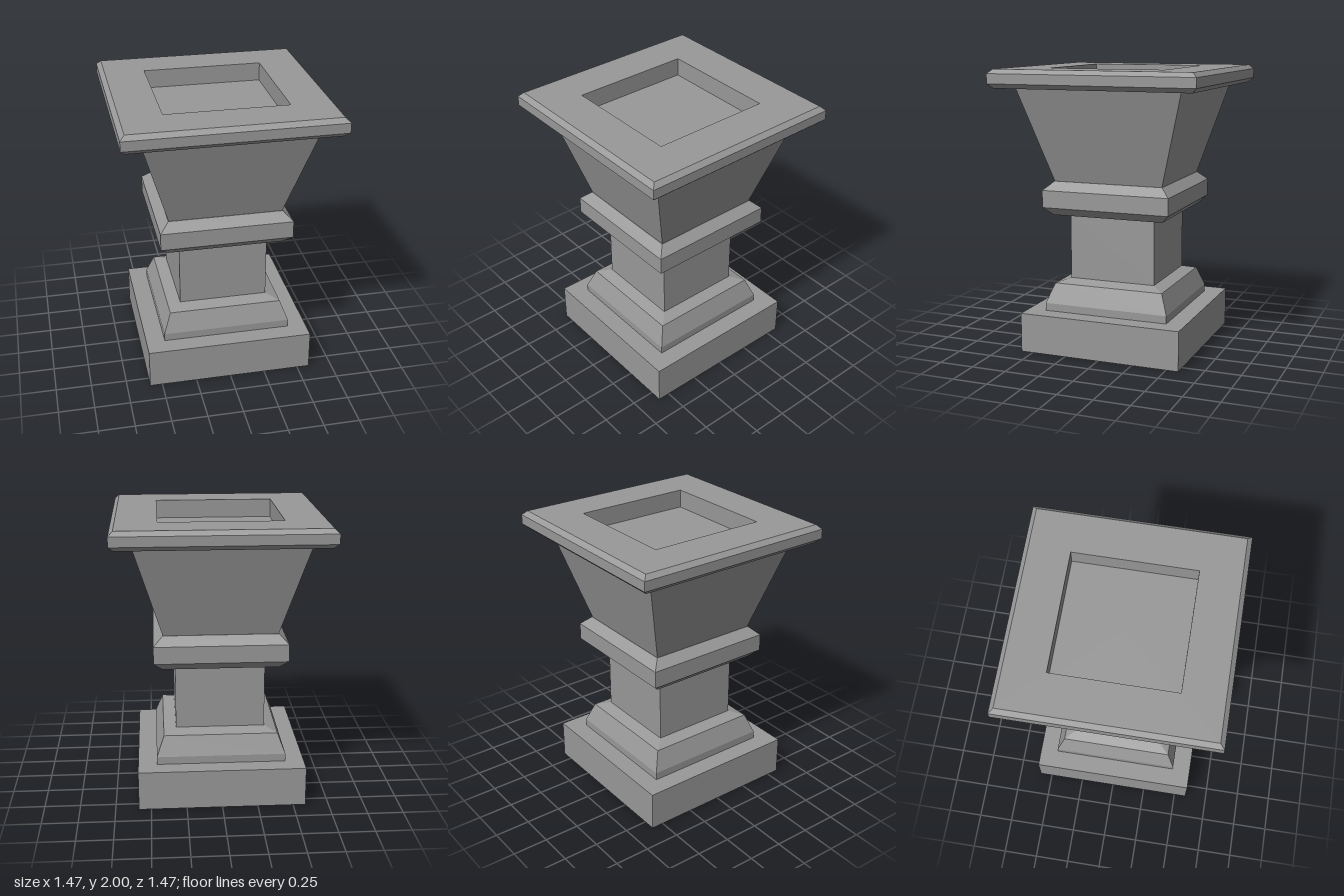
import * as THREE from 'three';

// Sweeps a profile of [half width, height] pairs around a square plan, with flat faces.
function squareLoft(profile) {
  const points = profile.map(([half, y]) => new THREE.Vector2(half * Math.SQRT2, y));
  const geometry = new THREE.LatheGeometry(points, 4, Math.PI / 4).toNonIndexed();
  geometry.computeVertexNormals();
  return geometry;
}

// Closes a profile with flat faces at the bottom and top.
const capped = (profile) => [
  [0, profile[0][1]],
  ...profile,
  [0, profile[profile.length - 1][1]],
];

export function createModel() {
  const group = new THREE.Group();
  const stone = new THREE.MeshStandardMaterial({ color: 0x999999 });
  stone.name = 'grey stone';

  const parts = {
    plinth: capped([[0.587, 0], [0.587, 0.28]]),
    baseMoulding: capped([[0.455, 0.28], [0.455, 0.335], [0.402, 0.475], [0.315, 0.502]]),
    shaft: capped([[0.315, 0.5], [0.315, 0.975]]),
    collar: capped([[0.405, 0.972], [0.465, 1.03], [0.465, 1.152], [0.4, 1.212]]),
    bowl: capped([[0.397, 1.21], [0.592, 1.87]]),
    // Closed ring: the opening shows the top of the bowl as its floor
    rim: [
      [0.422, 1.87], [0.7, 1.87], [0.734, 1.902], [0.734, 1.97],
      [0.702, 2], [0.422, 2], [0.422, 1.87],
    ],
  };

  for (const [name, profile] of Object.entries(parts)) {
    const mesh = new THREE.Mesh(squareLoft(profile), stone);
    mesh.name = name;
    group.add(mesh);
  }
  return group;
}
